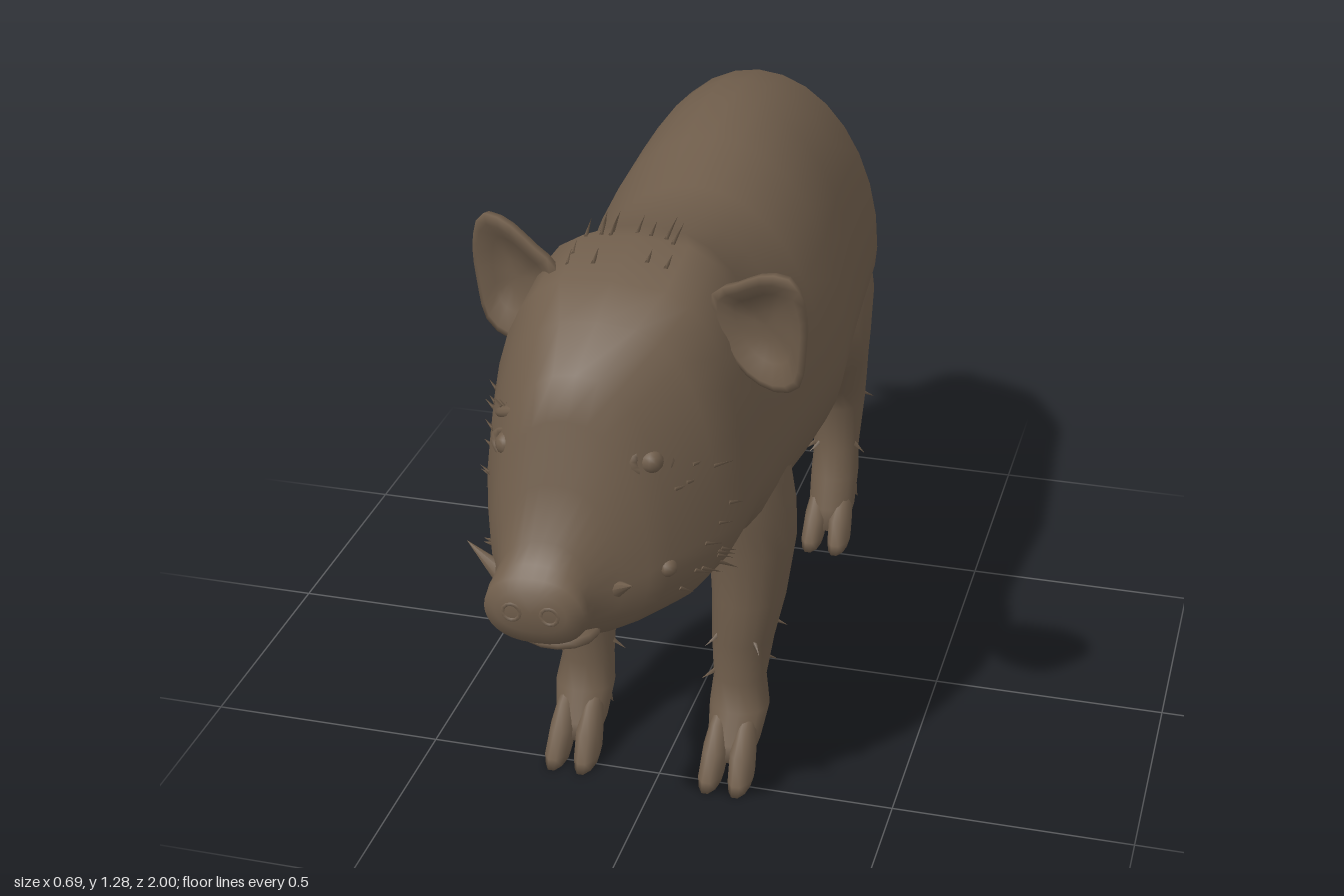
import * as THREE from 'three';

const hide = new THREE.MeshStandardMaterial({ color: 0x6f5d4b });
hide.name = 'brownHide';

// Skin a list of rings (arrays of Vector3), closing both ends.
function loft(rings) {
  const n = rings[0].length, pos = [], idx = [];
  const push = (p) => pos.push(p.x, p.y, p.z);
  rings.forEach((r) => r.forEach(push));
  for (let i = 0; i < rings.length - 1; i++) {
    for (let j = 0; j < n; j++) {
      const a = i * n + j, b = i * n + (j + 1) % n;
      idx.push(a, b, a + n, b, b + n, a + n);
    }
  }
  [0, rings.length - 1].forEach((k) => {
    const c = new THREE.Vector3();
    rings[k].forEach((p) => c.addScaledVector(p, 1 / n));
    const ci = pos.length / 3;
    push(c);
    for (let j = 0; j < n; j++) {
      const a = k * n + j, b = k * n + (j + 1) % n;
      if (k === 0) idx.push(ci, b, a); else idx.push(ci, a, b);
    }
  });
  // keep the faces pointing outwards
  const P = (i) => new THREE.Vector3().fromArray(pos, i * 3);
  let volume = 0;
  for (let i = 0; i < idx.length; i += 3) volume += P(idx[i]).dot(P(idx[i + 1]).cross(P(idx[i + 2])));
  if (volume < 0) idx.reverse();
  const g = new THREE.BufferGeometry();
  g.setAttribute('position', new THREE.Float32BufferAttribute(pos, 3));
  g.setIndex(idx);
  g.computeVertexNormals();
  return g;
}

// Horizontal elliptical rings from rows [y, cx, cz, rx, rz].
function limb(rows, n = 14) {
  return loft(rows.map(([y, cx, cz, rx, rz]) => Array.from({ length: n }, (_, j) => {
    const t = (j / n) * Math.PI * 2;
    return new THREE.Vector3(cx + rx * Math.cos(t), y, cz + rz * Math.sin(t));
  })));
}

// Snout to rump: [z, cx, half width, bottom, widest height, top, upper roundness]
const BODY = [
  [0.998, -0.1, 0.07, 0.635, 0.675, 0.718, 0.86], [0.978, -0.1, 0.097, 0.6, 0.667, 0.737, 0.86],
  [0.955, -0.1, 0.1, 0.585, 0.665, 0.755, 0.86], [0.925, -0.095, 0.097, 0.575, 0.67, 0.79, 0.86],
  [0.885, -0.08, 0.125, 0.565, 0.69, 0.89, 0.86], [0.86, -0.065, 0.155, 0.56, 0.71, 1.01, 0.86],
  [0.83, -0.055, 0.178, 0.555, 0.73, 1.09, 0.86], [0.75, -0.035, 0.23, 0.555, 0.75, 1.165, 0.7],
  [0.67, -0.03, 0.253, 0.56, 0.77, 1.21, 0.55], [0.55, -0.02, 0.255, 0.58, 0.78, 1.255, 0.55],
  [0.45, -0.02, 0.26, 0.525, 0.78, 1.235, 0.8], [0.3, -0.02, 0.27, 0.515, 0.78, 1.205, 0.95],
  [0.15, -0.015, 0.28, 0.505, 0.78, 1.2, 1], [0, -0.015, 0.29, 0.5, 0.78, 1.25, 1],
  [-0.2, -0.025, 0.28, 0.5, 0.79, 1.265, 1], [-0.35, -0.035, 0.28, 0.54, 0.8, 1.25, 1],
  [-0.5, -0.04, 0.28, 0.585, 0.82, 1.22, 1], [-0.66, -0.045, 0.22, 0.62, 0.84, 1.14, 1],
  [-0.76, -0.045, 0.135, 0.74, 0.88, 1.035, 1], [-0.83, -0.065, 0.045, 0.88, 0.92, 0.96, 1],
];
function bodyPoint([z, cx, w, lo, mid, hi, round], t) {
  const c = Math.cos(t), s = Math.sin(t);
  const x = cx + w * Math.sign(c) * Math.abs(c) ** (s > 0 ? round : 0.8);
  return new THREE.Vector3(x, mid + s * (s > 0 ? hi - mid : mid - lo), z);
}
function rowAt(z) {
  const i = BODY.findIndex((r, k) => k > 0 && r[0] <= z), a = BODY[i - 1], b = BODY[i];
  const f = (z - a[0]) / (b[0] - a[0]);
  return a.map((v, k) => v + (b[k] - v) * f);
}

let seed = 7;
const rand = () => (seed = (seed * 16807) % 2147483647) / 2147483647;

export function createModel() {
  const root = new THREE.Group();
  root.name = 'boar';
  const add = (name, geo, parent = root) => {
    const m = new THREE.Mesh(geo, hide);
    m.name = name;
    parent.add(m);
    return m;
  };
  const spike = (name, from, dir, length, radius, sides = 3, parent = root) => {
    const m = add(name, new THREE.ConeGeometry(radius, length, sides), parent);
    const d = dir.clone().normalize();
    m.quaternion.setFromUnitVectors(new THREE.Vector3(0, 1, 0), d);
    m.position.copy(from).addScaledVector(d, length * 0.4);
  };
  const V = (x, y, z) => new THREE.Vector3(x, y, z);

  // Body and head in one skin
  add('bodyAndHead', loft(BODY.map((r) =>
    Array.from({ length: 32 }, (_, j) => bodyPoint(r, (j / 32) * Math.PI * 2)))));

  // Lower lip and nostril rims
  const lip = add('lowerLip', new THREE.SphereGeometry(1, 14, 8));
  lip.scale.set(0.08, 0.025, 0.07);
  lip.position.set(-0.075, 0.595, 0.905);
  [-1, 1].forEach((s) => {
    const rim = add('nostril', new THREE.TorusGeometry(0.017, 0.006, 6, 12));
    rim.position.set(-0.1 + s * 0.037, 0.673, 0.994);
  });

  // Eyes, lids and brows
  [-1, 1].forEach((s) => {
    const eye = new THREE.Group();
    eye.name = s > 0 ? 'leftEye' : 'rightEye';
    eye.position.set(s > 0 ? 0.085 : -0.193, 0.93, 0.823);
    eye.rotation.set(-0.25, s * 0.65, 0);
    root.add(eye);
    add('eyeball', new THREE.SphereGeometry(0.024, 12, 8), eye);
    const lid = add('eyelid', new THREE.TorusGeometry(0.03, 0.01, 6, 14), eye);
    lid.scale.set(1.25, 0.8, 1);
    const brow = add('brow', new THREE.SphereGeometry(1, 12, 6), eye);
    brow.scale.set(0.055, 0.014, 0.018);
    brow.position.set(0, 0.06, -0.008);
    brow.rotation.z = -s * 0.25;
    for (let i = 0; i < 4; i++) {
      spike('browBristle', V((i - 1.5) * 0.02, 0.065, 0), V(s * 0.8, 0.4, 0), 0.03, 0.004, 3, eye);
    }
  });

  // Tusks and cheek wart
  spike('rightTusk', V(-0.205, 0.685, 0.875), V(-0.85, 0.6, -0.2), 0.09, 0.02, 8);
  spike('leftTusk', V(0.035, 0.685, 0.885), V(0.6, 0.5, 0.6), 0.075, 0.018, 8);
  const wart = add('cheekWart', new THREE.SphereGeometry(0.02, 8, 6));
  wart.position.set(0.115, 0.71, 0.825);

  // Cupped ears: back bulge, outer edge, rim and hollow
  const earOutline = [[0.15, 1.19], [0.2, 1.225], [0.27, 1.265], [0.32, 1.265], [0.345, 1.2],
    [0.342, 1.11], [0.325, 1.03], [0.28, 1.005], [0.22, 1.02], [0.17, 1.08]];
  const earLayers = [[0.3, -0.055], [0.7, -0.045], [0.96, -0.015], [1, 0.01], [0.86, 0.018], [0.6, -0.01], [0.25, -0.02]];
  [-1, 1].forEach((s) => {
    const curve = new THREE.CatmullRomCurve3(earOutline.map(([x, y]) => V(s * x, y, 0)), true);
    const edge = curve.getSpacedPoints(24).slice(0, 24);
    const lift = s < 0 ? 0.012 : 0;
    add(s > 0 ? 'leftEar' : 'rightEar', loft(earLayers.map(([k, dz]) => edge.map((p) => {
      const x = s * 0.255 + (p.x - s * 0.255) * k, y = 1.135 + (p.y - 1.135) * k + lift;
      const slope = s > 0 ? 0.61 + (x - 0.15) * 0.35 : 0.615 + (x + 0.15) * 0.4;
      return V(x, y, slope + dz + (y - 1.14) * (s > 0 ? 0.2 : 0.1));
    }))));
  });

  // Legs: rows [y, outward, z, rx, rz], thinning into the body at the top
  const frontLeg = [[0.95, 0.12, 0.34, 0.06, 0.08], [0.82, 0.145, 0.345, 0.085, 0.12], [0.7, 0.165, 0.35, 0.093, 0.13],
    [0.6, 0.18, 0.35, 0.095, 0.12], [0.52, 0.187, 0.345, 0.09, 0.105],
    [0.4, 0.183, 0.355, 0.078, 0.09], [0.3, 0.173, 0.365, 0.066, 0.073], [0.2, 0.167, 0.37, 0.056, 0.053],
    [0.14, 0.17, 0.385, 0.064, 0.056], [0.08, 0.168, 0.42, 0.056, 0.056], [0.045, 0.168, 0.44, 0.045, 0.045]];
  const hindLeg = [[1.02, 0.08, -0.5, 0.07, 0.1], [0.88, 0.118, -0.535, 0.1, 0.14], [0.78, 0.138, -0.545, 0.108, 0.165],
    [0.68, 0.152, -0.535, 0.111, 0.155], [0.58, 0.157, -0.52, 0.105, 0.13], [0.5, 0.158, -0.572, 0.09, 0.112],
    [0.42, 0.16, -0.62, 0.076, 0.1], [0.36, 0.165, -0.635, 0.066, 0.075], [0.25, 0.17, -0.612, 0.054, 0.055],
    [0.18, 0.17, -0.6, 0.057, 0.06], [0.11, 0.17, -0.575, 0.055, 0.06], [0.06, 0.17, -0.55, 0.045, 0.045]];
  const kinds = [['Front', frontLeg, 0.42, 0, -0.025], ['Hind', hindLeg, -0.58, 0.02, -0.038]];
  [-1, 1].forEach((s) => kinds.forEach(([kind, rows, z, y, offset]) => {
    const leg = new THREE.Group();
    leg.name = (s > 0 ? 'left' : 'right') + kind + 'Leg';
    leg.position.x = offset;
    root.add(leg);
    add('leg', limb(rows.map(([h, x, cz, rx, rz]) => [h, s * x, cz, rx, rz]), 18), leg);
    const fx = s * rows[rows.length - 1][1];
    // cloven toes and dew claws
    [-1, 1].forEach((t) => {
      const tx = fx + t * 0.029;
      add('toe', limb([[0.15 + y, tx, z - 0.025, 0.008, 0.01], [0.115 + y, tx, z + 0.005, 0.02, 0.035],
        [0.07 + y, tx, z + 0.04, 0.028, 0.045], [0.025 + y, tx + t * 0.003, z + 0.066, 0.027, 0.055],
        [0.005 + y, tx + t * 0.003, z + 0.075, 0.022, 0.055]], 10), leg);
      spike('dewClaw', V(tx, 0.12 + y, z - 0.055), V(t * 0.3, -1, -0.35), 0.07, 0.02, 6, leg);
    });
    // loose bristles on the shank
    for (let i = 0; i < 7; i++) {
      const a = rand() * Math.PI * 2, r = rows[rows.length - 4 - (i % 2)];
      spike('legBristle', V(s * r[1] + Math.cos(a) * r[3] * 0.95, r[0] + 0.04 * rand(), r[2] + Math.sin(a) * r[4] * 0.95),
        V(Math.cos(a), -0.6, Math.sin(a)), 0.04, 0.007, 3, leg);
    }
  }));

  // Tail with a tufted tip: rows [y, x, z, rx, rz]
  add('tail', limb([[0.97, -0.06, -0.8, 0.025, 0.03], [0.9, -0.08, -0.85, 0.025, 0.025], [0.84, -0.09, -0.87, 0.018, 0.02],
    [0.73, -0.1, -0.885, 0.016, 0.018], [0.65, -0.115, -0.925, 0.026, 0.026], [0.6, -0.125, -0.955, 0.028, 0.026],
    [0.53, -0.14, -0.993, 0.004, 0.005]], 10));

  // Bristles on cheeks, crown and belly
  const bristles = (name, count, z0, z1, t0, t1, length, lean) => {
    for (let i = 0; i < count; i++) {
      const row = rowAt(z0 + (z1 - z0) * rand()), t = t0 + (t1 - t0) * rand();
      const out = V(Math.cos(t), Math.sin(t), 0).add(lean);
      spike(name, bodyPoint(row, t), out, length * (0.7 + 0.6 * rand()), 0.005);
    }
  };
  bristles('leftCheekBristle', 14, 0.68, 0.82, -0.6, 0.5, 0.045, V(0, -0.5, -1.2));
  bristles('rightCheekBristle', 14, 0.68, 0.82, Math.PI - 0.5, Math.PI + 0.6, 0.045, V(0, -0.5, -1.2));
  bristles('crownBristle', 14, 0.5, 0.62, 1.35, 1.8, 0.06, V(0, -0.6, -1.8));
  bristles('bellyBristle', 8, -0.35, -0.15, -1.2, -0.8, 0.05, V(0, 0, -2));
  return root;
}
